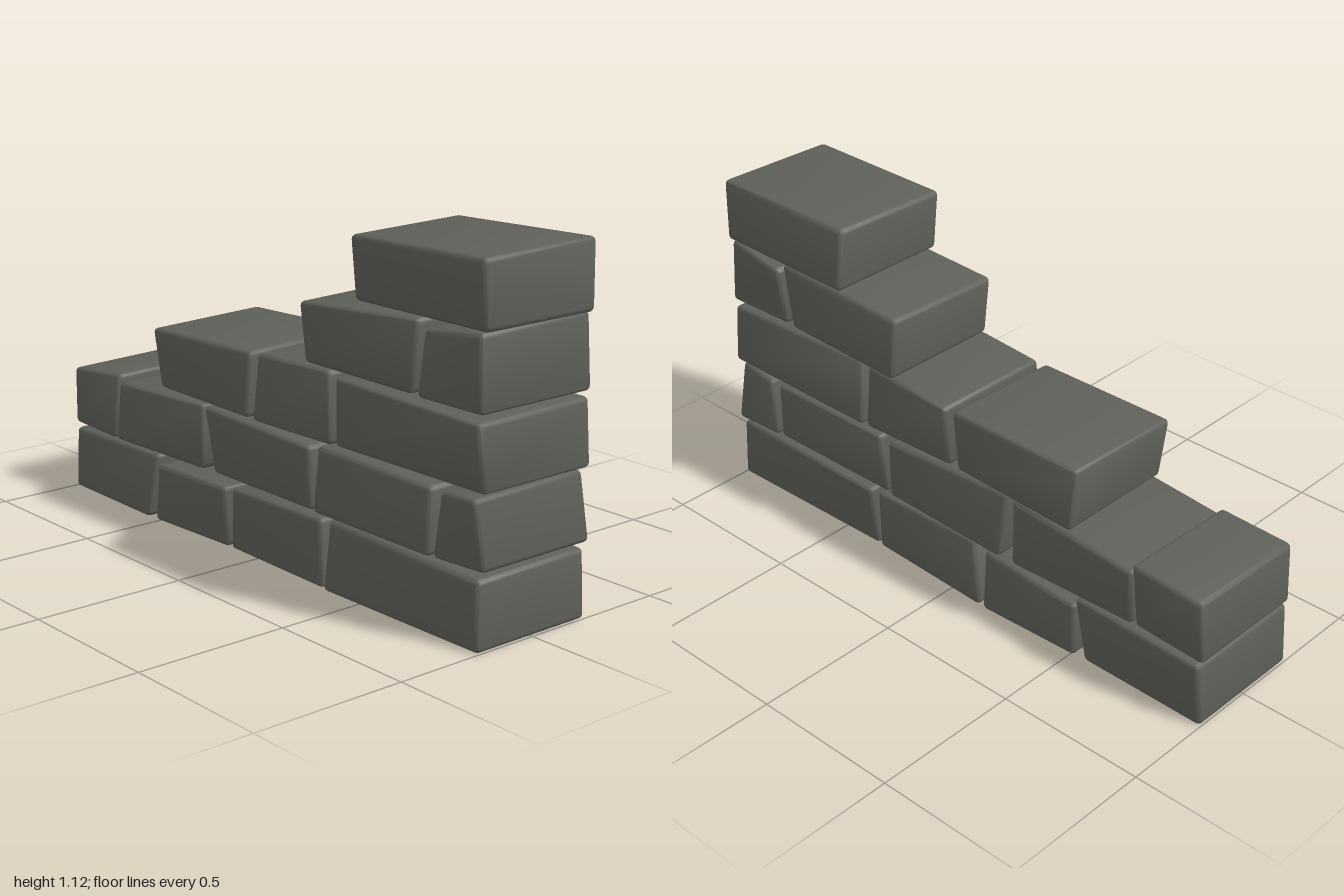
import * as THREE from 'three';
import { RoundedBoxGeometry } from 'three/addons/geometries/RoundedBoxGeometry.js';
import { toCreasedNormals } from 'three/addons/utils/BufferGeometryUtils.js';

const lerp = THREE.MathUtils.lerp;
const bilerp = (a, b, c, d, u, v) => lerp(lerp(a, b, u), lerp(c, d, u), v);

// Courses from the ground up. Each block is its front outline:
// bottom left x, bottom right x, top left x, top right x, top left y, top right y
const courses = [
  { base: 0, blocks: [
    [-1, -0.55, -0.99, -0.52, 0.215, 0.22],
    [-0.515, -0.145, -0.515, -0.135, 0.19, 0.205],
    [-0.13, 0.335, -0.095, 0.32, 0.215, 0.215],
    [0.345, 1, 0.35, 0.99, 0.22, 0.21],
  ] },
  { base: 0.23, blocks: [
    [-1, -0.74, -0.985, -0.735, 0.43, 0.45],
    [-0.73, -0.265, -0.735, -0.25, 0.425, 0.45],
    [-0.215, 0.275, -0.235, 0.27, 0.45, 0.43],
    [0.29, 0.8, 0.3, 0.79, 0.44, 0.43],
    [0.81, 1, 0.835, 0.98, 0.43, 0.445],
  ] },
  { base: 0.455, blocks: [
    [-0.495, -0.02, -0.51, -0.02, 0.655, 0.665],
    [0.01, 0.37, 0.01, 0.36, 0.665, 0.68],
    [0.38, 1, 0.395, 0.99, 0.67, 0.655],
  ] },
  { base: 0.68, blocks: [
    [0.235, 0.71, 0.235, 0.73, 0.87, 0.9],
    [0.74, 1, 0.75, 0.98, 0.875, 0.905],
  ] },
  { base: 0.905, blocks: [
    [0.46, 1, 0.46, 0.995, 1.1, 1.11],
  ] },
];

// A bevelled box warped into an uneven six-sided stone; seed varies its depth and rear height
function stoneBlock([x0, x1, x2, x3, y0, y1], base, seed) {
  const w = x1 - x0, h = y0 - base, d = 0.43;
  const geo = new RoundedBoxGeometry(w, h, d, 2, 0.016);
  const wobble = (corner) => 0.012 * Math.sin(seed * 2.4 + corner * 1.7);
  const rearRise = 0.007 + wobble(9) / 2;
  const p = geo.attributes.position;
  for (let i = 0; i < p.count; i++) {
    const u = p.getX(i) / w + 0.5, v = p.getY(i) / h + 0.5, t = 0.5 - p.getZ(i) / d;
    const x = bilerp(x0, x1, x2, x3, u, v);
    const y = lerp(base, lerp(y0, y1, u) + rearRise * t, v);
    const front = 0.212 + bilerp(wobble(0), wobble(1), wobble(2), wobble(3), u, v);
    const rear = -0.216 + bilerp(wobble(4), wobble(5), wobble(6), wobble(7), u, v);
    p.setXYZ(i, x, y, lerp(front, rear, t));
  }
  return toCreasedNormals(geo, 0.7);
}

export function createModel() {
  const stone = new THREE.MeshStandardMaterial({ color: 0x5e6059 });
  stone.name = 'stone grey';
  const wall = new THREE.Group();
  wall.name = 'steppedStoneWall';
  courses.forEach(({ base, blocks }, row) => {
    const course = new THREE.Group();
    course.name = `course${row + 1}`;
    blocks.forEach((outline, i) => {
      const mesh = new THREE.Mesh(stoneBlock(outline, base, row * 5 + i), stone);
      mesh.name = `stoneBlock${row + 1}_${i + 1}`;
      course.add(mesh);
    });
    wall.add(course);
  });
  return wall;
}
